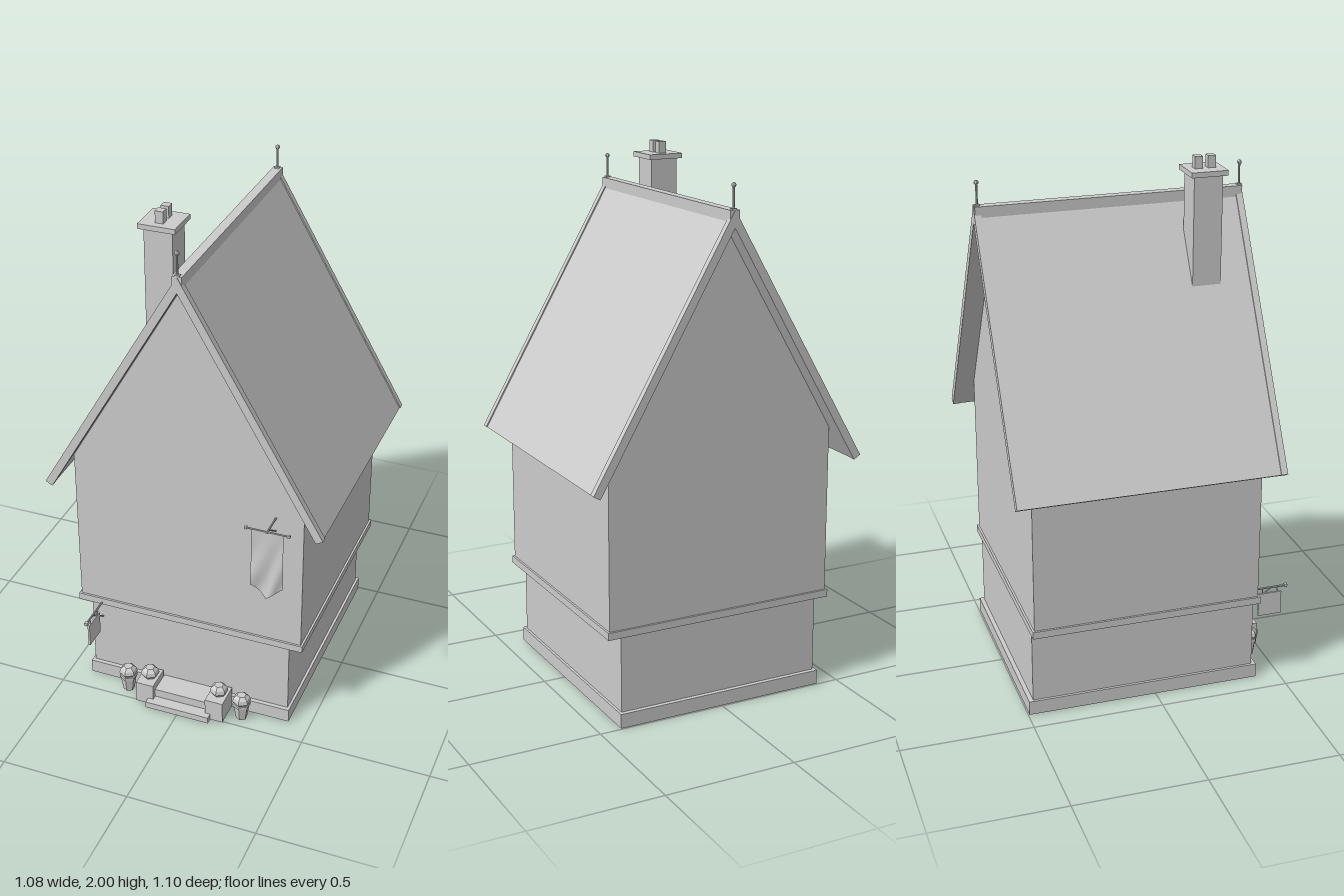
import * as THREE from 'three';

const stone = new THREE.MeshStandardMaterial({ color: 0xcccccc, flatShading: true });
stone.name = 'plain grey';
const cloth = new THREE.MeshStandardMaterial({ color: 0xcccccc, side: THREE.DoubleSide });
cloth.name = 'plain grey cloth';

export function createModel() {
  const group = new THREE.Group();
  group.name = 'house';

  const add = (name, geometry, material = stone) => {
    const mesh = new THREE.Mesh(geometry, material);
    mesh.name = name;
    group.add(mesh);
    return mesh;
  };
  // Box given by its limits on each axis
  const box = (name, x0, x1, y0, y1, z0, z1) =>
    add(name, new THREE.BoxGeometry(x1 - x0, y1 - y0, z1 - z0))
      .position.set((x0 + x1) / 2, (y0 + y1) / 2, (z0 + z1) / 2);
  // Round bar between two points
  const rod = (name, a, b, r) => {
    const p = new THREE.Vector3(...a), q = new THREE.Vector3(...b);
    const mesh = add(name, new THREE.CylinderGeometry(r, r, p.distanceTo(q), 8));
    mesh.position.copy(p).add(q).multiplyScalar(0.5);
    mesh.quaternion.setFromUnitVectors(new THREE.Vector3(0, 1, 0), q.sub(p).normalize());
  };
  // Outline in the xy plane, extruded between two depths
  const prism = (name, points, z0, z1) => {
    const shape = new THREE.Shape(points.map(p => new THREE.Vector2(...p)));
    add(name, new THREE.ExtrudeGeometry(shape, { depth: z1 - z0, bevelEnabled: false }))
      .position.z = z0;
  };
  // Six-sided turned form
  const turned = (name, profile, x, y, z) =>
    add(name, new THREE.LatheGeometry(profile.map(p => new THREE.Vector2(...p)), 6))
      .position.set(x, y, z);

  // Walls: plinth, ground floor, overhanging upper floor with gables
  box('plinth', -0.415, 0.415, 0, 0.055, -0.495, 0.408);
  box('groundFloor', -0.405, 0.405, 0.055, 0.35, -0.478, 0.392);
  box('floorBand', -0.458, 0.458, 0.345, 0.373, -0.486, 0.4);
  prism('upperFloor', [[-0.45, 0.35], [0.45, 0.35], [0.45, 1.01], [0, 1.79], [-0.45, 1.01]],
    -0.478, 0.392);

  // Roof: chevron section at 60 degrees with square-cut eaves
  const slope = Math.sqrt(3);
  const roof = (name, apex, underside, eave, z0, z1) => {
    const rise = apex - underside, inner = eave - rise * slope / 4;
    prism(name, [
      [0, apex], [-eave, apex - eave * slope], [-inner, underside - inner * slope],
      [0, underside],
      [inner, underside - inner * slope], [eave, apex - eave * slope],
    ], z0, z1);
  };
  roof('roofPanels', 1.839, 1.79, 0.537, -0.53, 0.433);
  roof('backBargeboards', 1.848, 1.787, 0.541, -0.552, -0.527);
  roof('frontBargeboards', 1.848, 1.787, 0.541, 0.43, 0.455);
  box('ridgeCap', -0.018, 0.018, 1.8, 1.848, -0.55, 0.453);

  // Ridge finials
  for (const z of [-0.538, 0.446]) {
    box('finialBase', -0.009, 0.009, 1.845, 1.853, z - 0.009, z + 0.009);
    rod('finialPole', [0, 1.84, z], [0, 1.925, z], 0.004);
    add('finialTip', new THREE.SphereGeometry(0.009, 8, 6)).position.set(0, 1.932, z);
  }

  // Chimney
  box('chimneyStack', -0.177, -0.071, 1.4, 1.94, 0.208, 0.316);
  box('chimneyCap', -0.194, -0.056, 1.937, 1.956, 0.193, 0.33);
  for (const z of [0.238, 0.287])
    box('chimneyPot', -0.14, -0.11, 1.95, 2, z - 0.015, z + 0.015);

  // Entrance steps
  box('lowerStep', -0.13, 0.13, 0, 0.026, 0.39, 0.53);
  box('upperStep', -0.108, 0.108, 0, 0.06, 0.39, 0.485);

  // Pedestals and planters on both sides of the steps
  const bush = [[0, 0], [0.026, 0.004], [0.036, 0.018], [0.032, 0.034], [0.018, 0.046], [0, 0.046]];
  for (const s of [-1, 1]) {
    const x = s * 0.144;
    box('pedestal', x - 0.036, x + 0.036, 0, 0.09, 0.4, 0.505);
    turned('pedestalBush', bush, x, 0.086, 0.447);
    turned('planter', [[0, 0], [0.022, 0], [0.031, 0.06], [0.035, 0.06], [0.035, 0.072], [0, 0.072]],
      s * 0.237, 0, 0.447);
    turned('planterBush', bush, s * 0.237, 0.064, 0.447);
  }

  // Hanging sign on a bracket
  const sx = -0.362;
  rod('signArm', [sx, 0.352, 0.385], [sx, 0.352, 0.54], 0.004);
  box('signArmEnd', sx - 0.006, sx + 0.006, 0.346, 0.358, 0.535, 0.547);
  rod('signBrace', [sx, 0.278, 0.388], [sx, 0.35, 0.48], 0.003);
  for (const z of [0.447, 0.508]) rod('signHanger', [sx, 0.328, z], [sx, 0.352, z], 0.002);
  box('signBoard', sx - 0.004, sx + 0.004, 0.236, 0.33, 0.431, 0.524);

  // Banner bracket and crossbar
  const bx = 0.343, bz = 0.483;
  rod('bannerArm', [bx, 0.923, 0.385], [bx, 0.923, bz + 0.007], 0.004);
  rod('bannerBrace', [bx, 0.865, 0.388], [bx, 0.92, 0.465], 0.003);
  rod('bannerBar', [0.262, 0.923, bz], [0.424, 0.923, bz], 0.0035);
  for (const x of [0.262, 0.424])
    box('bannerBarEnd', x - 0.005, x + 0.005, 0.918, 0.928, bz - 0.005, bz + 0.005);

  // Rippled banner cloth with a pointed hem
  const banner = new THREE.PlaneGeometry(0.123, 1, 10, 14);
  const pos = banner.attributes.position;
  for (let i = 0; i < pos.count; i++) {
    const x = pos.getX(i), t = 0.5 - pos.getY(i);
    const length = 0.29 - 0.05 * Math.abs(x) / 0.0615;
    pos.setXYZ(i, x, 0.92 - t * length, 0.007 * t * Math.sin(x * 75 + t * 7));
  }
  banner.computeVertexNormals();
  add('bannerCloth', banner, cloth).position.set(bx, 0, bz);

  return group;
}
